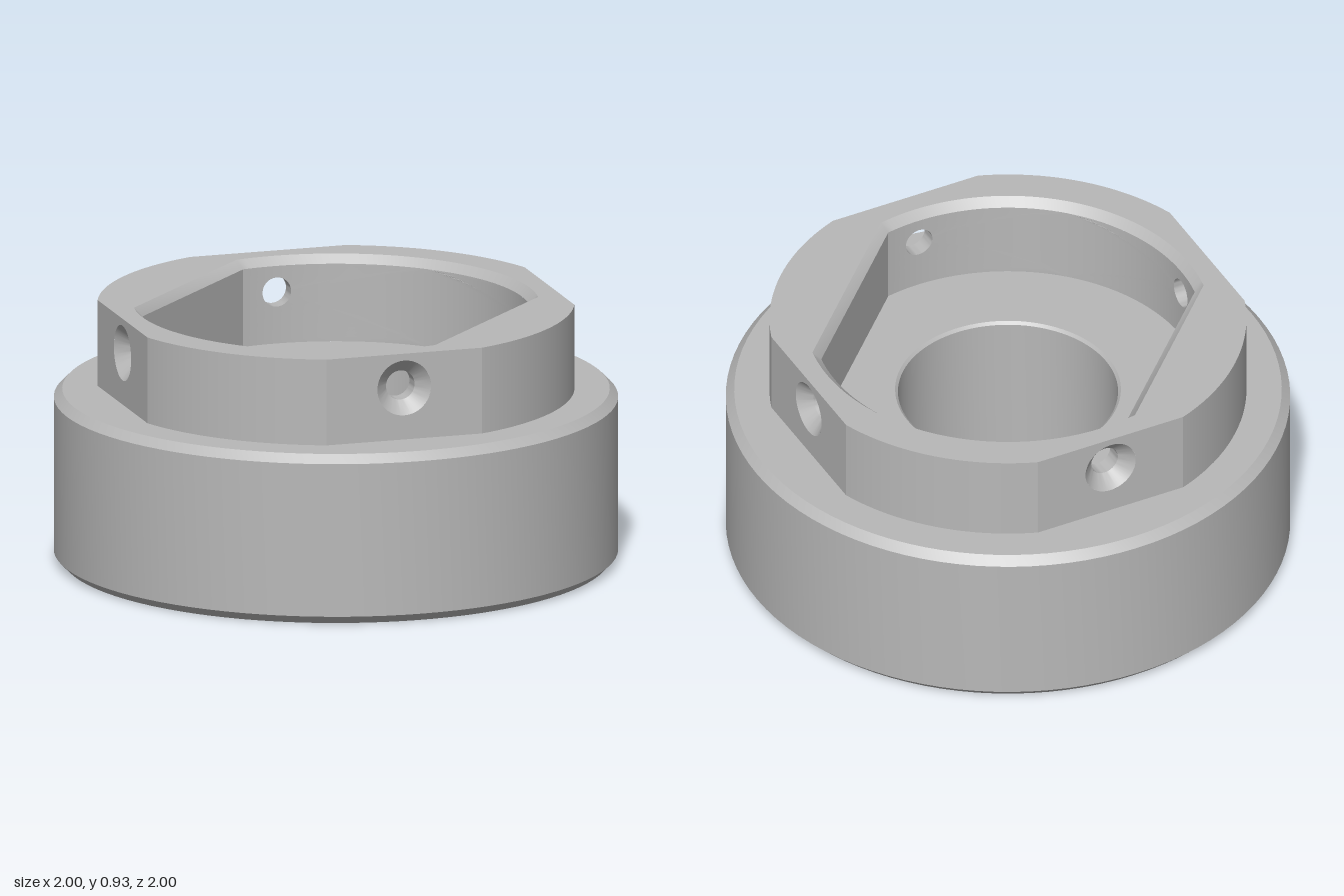
import * as THREE from 'three';
import { mergeGeometries, toCreasedNormals } from 'three/addons/utils/BufferGeometryUtils.js';

const RAD = Math.PI / 180;
const SEG = 96;
const TOP = 0.93, SHOULDER = 0.617;            // collar top, body top and pocket floor
const COLLAR_R = 0.845, FLAT_HALF = 20 * RAD;  // collar with four diagonal flats
const FLAT_DIST = COLLAR_R * Math.cos(FLAT_HALF);
const POCKET_R = 0.69, POCKET_W = 0.57, CHAMFER = 0.03;
const BORE_R = 0.39, SCREW_R = 0.053, SINK_R = 0.1, SCREW_Y = 0.805;

// Surface through closed rings of points, running from the inner ring to the outer
function band(rings) {
  const n = rings[0].length;
  const index = [];
  for (let r = 0; r < rings.length - 1; r++) {
    for (let i = 0; i < n; i++) {
      const j = (i + 1) % n, a = r * n, b = a + n;
      index.push(a + i, b + i, b + j, a + i, b + j, a + j);
    }
  }
  const geo = new THREE.BufferGeometry().setFromPoints(rings.flat());
  geo.setIndex(index);
  return geo;
}

// Rectangular wall piece with a round hole, placed in space by map(u, y)
function holedWall(u0, u1, y0, y1, radius, steps, map) {
  const N = 32;
  const corners = [[u0, y0], [u1, y0], [u1, y1], [u0, y1]];
  const edge = [];
  corners.forEach(([ua, ya], k) => {
    const [ub, yb] = corners[(k + 1) % 4];
    for (let i = 0; i < N; i++) edge.push([ua + (ub - ua) * i / N, ya + (yb - ya) * i / N]);
  });
  const rings = [];
  for (let s = 0; s <= steps; s++) {
    const t = s / steps;
    rings.push(edge.map(([u, y]) => {
      const a = Math.atan2(y - SCREW_Y, u);
      const hu = radius * Math.cos(a), hy = SCREW_Y + radius * Math.sin(a);
      return map(hu + (u - hu) * t, hy + (y - hy) * t);
    }));
  }
  return band(rings);
}

// Round outline with two straight sides at x = +-w
function pocketOutline(r, w) {
  const t0 = Math.acos(w / r), pts = [];
  for (const start of [t0, Math.PI + t0]) {
    for (let i = 0; i <= 48; i++) {
      const t = start + (Math.PI - 2 * t0) * i / 48;
      pts.push(new THREE.Vector2(r * Math.cos(t), r * Math.sin(t)));
    }
  }
  return pts;
}

// Round outline with a flat on each diagonal
function collarOutline() {
  const pts = [];
  for (let k = 0; k < 4; k++) {
    for (let i = 0; i <= 20; i++) {
      const t = (k * 90 - 25 + 50 * i / 20) * RAD;
      pts.push(new THREE.Vector2(COLLAR_R * Math.cos(t), COLLAR_R * Math.sin(t)));
    }
  }
  return pts;
}

function circle(r, x = 0, y = 0, n = SEG) {
  return new THREE.Path().absarc(x, y, r, 0, Math.PI * 2).getSpacedPoints(n).slice(0, n);
}

// Horizontal plate with holes, facing up or down
function plate(outline, holes, y, up = true) {
  const shape = new THREE.Shape(outline);
  shape.holes = holes.map(h => new THREE.Path(h));
  return new THREE.ShapeGeometry(shape).rotateX(up ? -Math.PI / 2 : Math.PI / 2).translate(0, y, 0);
}

function lathe(profile, segments = SEG) {
  const geo = new THREE.LatheGeometry(profile.map(p => new THREE.Vector2(...p)), segments);
  return toCreasedNormals(geo, 25 * RAD);
}

export function createModel() {
  const model = new THREE.Group();
  const steel = new THREE.MeshStandardMaterial({ color: 0xb8b8b8 });
  steel.name = 'steel grey';
  const add = (name, geo) => {
    const mesh = new THREE.Mesh(geo, steel);
    mesh.name = name;
    model.add(mesh);
    return mesh;
  };

  // Body with chamfered rims, and bore with counterbore below
  add('body', lathe([[0.97, 0], [1, 0.03], [1, 0.587], [0.97, SHOULDER], [0.75, SHOULDER]]));
  add('bore', lathe([[0.4, SHOULDER], [BORE_R, 0.607], [BORE_R, 0.075],
    [0.485, 0.075], [0.485, 0.015], [0.5, 0]]));

  // Underside with a ring of eight blind holes
  const bolts = [];
  for (let k = 0; k < 8; k++) {
    const a = (22.5 + 45 * k) * RAD;
    bolts.push([0.774 * Math.cos(a), 0.774 * Math.sin(a)]);
  }
  add('underside', plate(circle(0.97), [circle(0.5), ...bolts.map(([x, z]) => circle(0.075, x, z, 32))], 0, false));
  const boltHole = lathe([[0, 0.35], [0.075, 0.35], [0.075, 0]], 32);
  for (const [x, z] of bolts) add('boltHole', boltHole).position.set(x, 0, z);

  // Collar top, pocket chamfer and pocket floor
  const rim = pocketOutline(POCKET_R + CHAMFER, POCKET_W + CHAMFER);
  const wall = pocketOutline(POCKET_R, POCKET_W);
  const lift = (pts, y) => pts.map(p => new THREE.Vector3(p.x, y, -p.y));
  add('collarTop', plate(collarOutline(), [rim], TOP));
  add('pocketChamfer', toCreasedNormals(band([lift(wall, TOP - CHAMFER), lift(rim, TOP)]), 25 * RAD));
  add('pocketFloor', plate(wall, [circle(0.4)], SHOULDER));

  // Collar outside: four curved sides and four flats with countersunk screw holes
  const halfFlat = COLLAR_R * Math.sin(FLAT_HALF);
  const flat = holedWall(-halfFlat, halfFlat, SHOULDER, TOP, SINK_R, 1,
    (u, y) => new THREE.Vector3(u, y, FLAT_DIST));
  flat.computeVertexNormals();
  const side = new THREE.CylinderGeometry(COLLAR_R, COLLAR_R, TOP - SHOULDER, 20, 1, true, -25 * RAD, 50 * RAD);
  const screwHole = lathe([[SINK_R, FLAT_DIST], [SCREW_R, FLAT_DIST - 0.047], [SCREW_R, 0.688]], 48)
    .rotateX(Math.PI / 2);

  // Pocket walls: one curved quarter for each screw hole
  const pocketWalls = [];
  const reach = Math.asin(POCKET_W / POCKET_R);
  const nearU = (reach - 45 * RAD) * POCKET_R, farU = 45 * RAD * POCKET_R;
  for (let k = 0; k < 4; k++) {
    const angle = (45 + 90 * k) * RAD;
    add('collarSide', side).position.y = (TOP + SHOULDER) / 2;
    model.children.at(-1).rotation.y = k * 90 * RAD;
    add('collarFlat', flat).rotation.y = angle;
    const hole = add('screwHole', screwHole);
    hole.position.y = SCREW_Y;
    hole.rotation.y = angle;
    const [u0, u1] = k % 2 ? [-farU, nearU] : [-nearU, farU];
    pocketWalls.push(holedWall(u0, u1, SHOULDER, TOP - CHAMFER, SCREW_R, 10, (u, y) => {
      const a = angle - u / POCKET_R;
      return new THREE.Vector3(POCKET_R * Math.sin(a), y, POCKET_R * Math.cos(a));
    }));
  }
  add('pocketCurvedWall', toCreasedNormals(mergeGeometries(pocketWalls), 25 * RAD));

  // Straight pocket walls
  const depth = TOP - CHAMFER - SHOULDER;
  const straight = new THREE.PlaneGeometry(2 * Math.sqrt(POCKET_R ** 2 - POCKET_W ** 2), depth);
  for (const s of [-1, 1]) {
    const mesh = add('pocketStraightWall', straight);
    mesh.position.set(s * POCKET_W, SHOULDER + depth / 2, 0);
    mesh.rotation.y = -s * Math.PI / 2;
  }
  return model;
}
